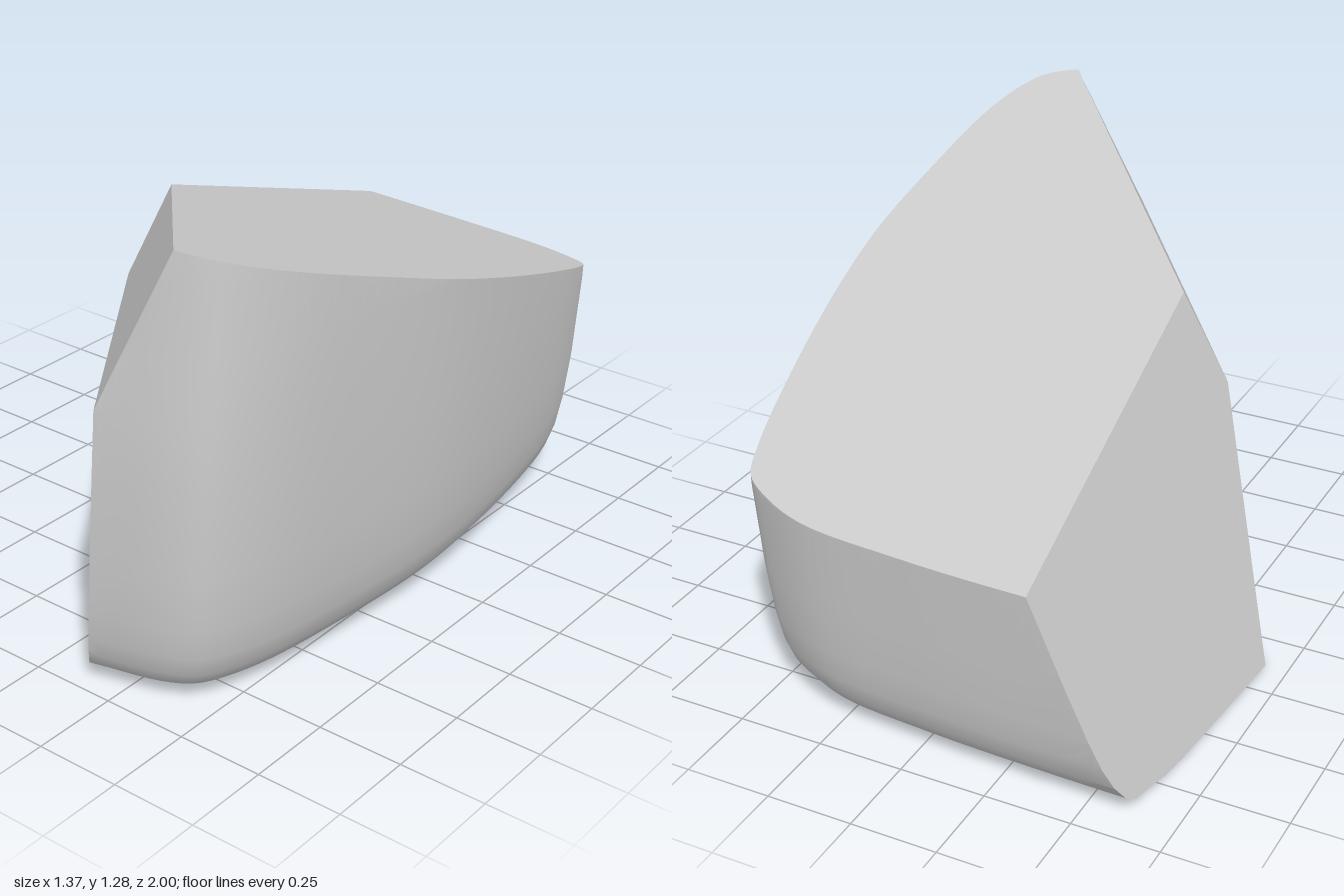
import * as THREE from 'three';
import { mergeVertices } from 'three/addons/utils/BufferGeometryUtils.js';

const V = (x, y, z) => new THREE.Vector3(x, y, z);

// Plan outline (x, z) of the uncut stone, from the front round by the right and back
const OUTLINE = [
  [0, 1.05], [0.22, 1.0], [0.42, 0.955], [0.51, 0.91], [0.555, 0.85], [0.61, 0.7], [0.655, 0.4],
  [0.68, 0.08], [0.665, -0.2], [0.615, -0.54], [0.565, -0.76], [0.53, -0.845], [0.45, -0.9],
  [0.3, -0.955], [0, -0.985], [-0.3, -1.0], [-0.9, -1.01], [-1.5, -1.0], [-1.5, 1.4], [-0.5, 1.19],
];

// Height, then scale of the outline sideways, to the front and to the back
const RINGS = [
  [0, 0.3, 0.65, 0.5], [0.012, 0.55, 0.8, 0.7], [0.03, 0.74, 0.91, 0.86], [0.055, 0.83, 0.95, 0.9],
  [0.1, 0.88, 0.972, 0.93], [0.16, 0.91, 0.985, 0.95], [0.25, 0.935, 0.995, 0.965], [0.4, 0.96, 1, 0.98],
  [0.65, 0.98, 0.995, 1], [0.83, 0.99, 0.985, 1], [1, 1, 0.965, 1], [1.2, 1, 0.95, 1], [1.4, 1, 0.93, 1],
];

// Corners shared by the flat broken faces
const peak = V(0.42, 1.28, 0.9), shoulder = V(-0.32, 1.01, 0.06), backTop = V(-0.38, 0.65, -1);
const frontEdge = V(0.22, 0.83, 0.98), leftEdge = V(-0.45, 0.69, 0.11), foot = V(-0.68, 0.02, -0.13);
const CUTS = [
  ['topFace', peak, shoulder, backTop],
  ['leftFace', shoulder, foot, backTop],
  ['frontLeftFace', frontEdge, leftEdge, foot],
  ['bevelFace', peak, shoulder, frontEdge],
];
const INSIDE = V(0.2, 0.4, 0);

// Rounded, uncut stone as a list of polygons
function roundedBlock() {
  const curve = new THREE.CatmullRomCurve3(OUTLINE.map(([x, z]) => V(x, 0, z)), true);
  const plan = curve.getPoints(120).slice(0, -1);
  const rings = RINGS.map(([y, sx, front, back]) =>
    plan.map((p) => V(p.x * sx, y, p.z * (p.z > 0 ? front : back))));
  const polys = [];
  for (let k = 0; k < rings.length - 1; k++) {
    for (let i = 0; i < plan.length; i++) {
      const j = (i + 1) % plan.length;
      const a = rings[k][i], b = rings[k][j], c = rings[k + 1][j], d = rings[k + 1][i];
      polys.push({ name: 'roundedBody', pts: [a, b, c] }, { name: 'roundedBody', pts: [a, c, d] });
    }
  }
  polys.push({ name: 'roundedBody', pts: [...rings[0]].reverse() });
  return polys;
}

// Cut the polygons by a plane and close the hole with a flat face
function cut(polys, name, plane) {
  const rim = [], kept = [];
  for (const poly of polys) {
    const pts = [];
    poly.pts.forEach((a, i) => {
      const b = poly.pts[(i + 1) % poly.pts.length];
      const da = plane.distanceToPoint(a), db = plane.distanceToPoint(b);
      if (da <= 0) pts.push(a);
      if ((da <= 0) !== (db <= 0)) {
        const p = a.clone().lerp(b, da / (da - db));
        pts.push(p);
        rim.push(p);
      }
    });
    if (pts.length > 2) kept.push({ name: poly.name, pts });
  }
  const centre = rim.reduce((s, p) => s.add(p), V(0, 0, 0)).divideScalar(rim.length);
  const u = V(0, 1, 0).cross(plane.normal).normalize();
  const v = plane.normal.clone().cross(u);
  const angle = (p) => {
    const d = p.clone().sub(centre);
    return Math.atan2(d.dot(v), d.dot(u));
  };
  kept.push({ name, pts: rim.sort((a, b) => angle(a) - angle(b)) });
  return kept;
}

// Triangulate polygons as fans about their middle
function toGeometry(polys) {
  const pos = [];
  for (const { pts } of polys) {
    const mid = pts.reduce((s, p) => s.add(p), V(0, 0, 0)).divideScalar(pts.length);
    const fan = pts.length === 3 ? [pts] : pts.map((p, i) => [mid, p, pts[(i + 1) % pts.length]]);
    fan.flat().forEach((p) => pos.push(p.x, p.y, p.z));
  }
  const geo = new THREE.BufferGeometry();
  geo.setAttribute('position', new THREE.Float32BufferAttribute(pos, 3));
  return geo;
}

export function createModel() {
  const group = new THREE.Group();
  group.name = 'brokenStone';
  const material = new THREE.MeshStandardMaterial({ color: 0xcccccc });
  const add = (name, geo) => {
    const mesh = new THREE.Mesh(geo, material);
    mesh.name = name;
    group.add(mesh);
  };

  let polys = roundedBlock();
  const planes = {};
  for (const [name, a, b, c] of CUTS) {
    const plane = new THREE.Plane().setFromCoplanarPoints(a, b, c);
    if (plane.distanceToPoint(INSIDE) > 0) plane.negate();
    planes[name] = plane;
    polys = cut(polys, name, plane);
  }

  // Smooth worn sides and underside
  const body = mergeVertices(toGeometry(polys.filter((p) => p.name === 'roundedBody')), 1e-4);
  body.computeVertexNormals();
  add('roundedBody', body);

  // Flat broken faces
  for (const [name] of CUTS) {
    const geo = toGeometry(polys.filter((p) => p.name === name));
    const n = planes[name].normal;
    const normals = Array.from({ length: geo.attributes.position.count }, () => [n.x, n.y, n.z]).flat();
    geo.setAttribute('normal', new THREE.Float32BufferAttribute(normals, 3));
    add(name, geo);
  }
  return group;
}
